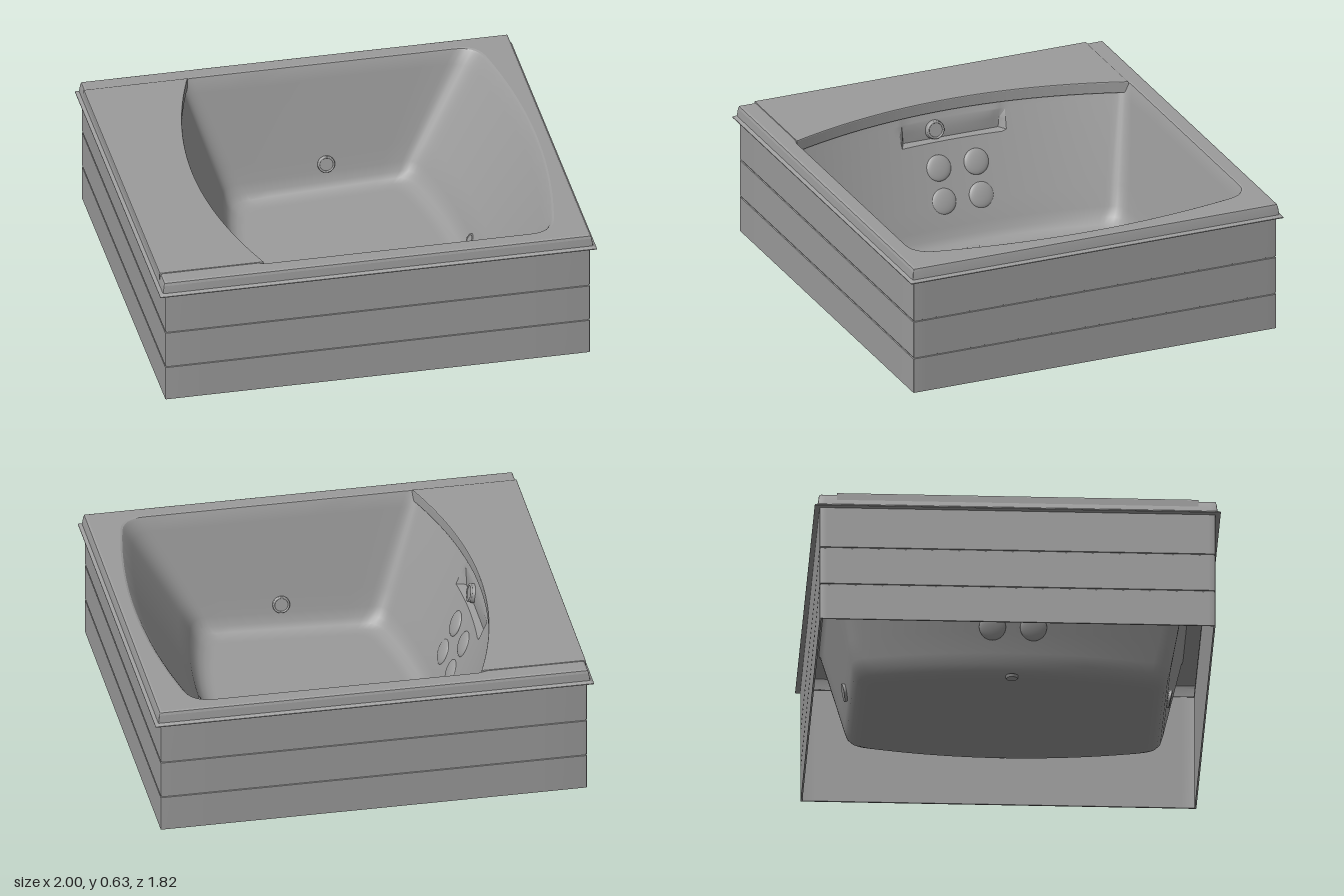
import * as THREE from 'three';
import { toCreasedNormals } from 'three/addons/utils/BufferGeometryUtils.js';

const material = new THREE.MeshStandardMaterial({ color: 0x9c9c9c, side: THREE.DoubleSide });

function add(group, name, geometry) {
  const mesh = new THREE.Mesh(geometry, material);
  mesh.name = name;
  group.add(mesh);
  return mesh;
}

// Closed four-sided outline in plan as [x, z]: bowed ends, straight sides, rounded corners
function outline({ l, r, z, bl = 0, br = 0, fl = 0.04, fr = 0.12 }) {
  const left = s => [l - bl * (1 - s * s), s * z];
  const right = s => [r + br * (1 - s * s), s * z];
  const side = (t, s) => [l + (r - l) * t, s * z];
  const points = [];
  const run = (fn, a, b, n) => {
    for (let i = 0; i <= n; i++) points.push(fn(a + (b - a) * i / n));
  };
  const corner = (a, c, b) => {
    for (let i = 1; i < 6; i++) {
      const t = i / 6, u = 1 - t;
      points.push([0, 1].map(k => u * u * a[k] + 2 * u * t * c[k] + t * t * b[k]));
    }
  };
  run(left, 1 - fl, -1 + fl, 64);
  corner(left(-1 + fl), [l, -z], side(fl, -1));
  run(t => side(t, -1), fl, 1 - fr * 0.6, 8);
  corner(side(1 - fr * 0.6, -1), [r, -z], right(-1 + fr));
  run(right, -1 + fr, 1 - fr, 32);
  corner(right(1 - fr), [r, z], side(1 - fr * 0.6, 1));
  run(t => side(t, 1), 1 - fr * 0.6, fl, 8);
  corner(side(fl, 1), [l, z], left(1 - fl));
  return points;
}

// Skin between outlines; each level carries its own height y
function loft(levels, crease, adjust = p => p) {
  const positions = [], index = [];
  let n = 0;
  levels.forEach((level, j) => {
    const ring = outline(level);
    n = ring.length;
    ring.forEach(([x, z], i) => {
      positions.push(...adjust([x, level.y, z]));
      if (j === 0) return;
      const a = (j - 1) * n + i, b = (j - 1) * n + (i + 1) % n;
      index.push(a, a + n, b, b, a + n, b + n);
    });
  });
  const g = new THREE.BufferGeometry();
  g.setAttribute('position', new THREE.Float32BufferAttribute(positions, 3));
  g.setIndex(index);
  return toCreasedNormals(g, crease);
}

const rect = (y, x, z, f = 0.004) => ({ y, l: -x, r: x, z, fl: f, fr: f });
const vectors = pts => pts.map(([x, z]) => new THREE.Vector2(x, -z));

// Turn a part's z axis along a normal and set it in place
function place(part, position, normal) {
  part.position.set(...position);
  part.quaternion.setFromUnitVectors(new THREE.Vector3(0, 0, 1), new THREE.Vector3(...normal).normalize());
}

// Disc fitting with a raised ring
function fitting(model, name, position, normal, radius) {
  const g = new THREE.Group();
  g.name = name;
  const disc = add(g, name + 'Disc', new THREE.CylinderGeometry(radius * 0.9, radius, 0.022, 28));
  disc.rotation.x = Math.PI / 2;
  const ring = add(g, name + 'Ring', new THREE.TorusGeometry(radius * 0.82, radius * 0.12, 8, 28));
  ring.position.z = 0.01;
  place(g, position, normal);
  model.add(g);
}

export function createModel() {
  const model = new THREE.Group();
  model.name = 'bathtub';

  // Open-bottomed skirt: plain inside, two fine grooves outside
  const skirt = [rect(0.56, 0.964, 0.879), rect(0.01, 0.964, 0.879), rect(0.01, 0.972, 0.887)];
  for (const y of [0.18, 0.36]) {
    skirt.push(rect(y - 0.004, 0.972, 0.887), rect(y - 0.002, 0.968, 0.883),
      rect(y + 0.002, 0.968, 0.883), rect(y + 0.004, 0.972, 0.887));
  }
  skirt.push(rect(0.56, 0.972, 0.887));
  add(model, 'skirt', loft(skirt, 0.2));

  // Thin flange and outer edge of the rim
  add(model, 'rimEdge', loft([
    rect(0.557, 0.96, 0.875), rect(0.557, 1, 0.91), rect(0.561, 1, 0.91), rect(0.57, 0.985, 0.896),
    rect(0.606, 0.98, 0.892), rect(0.618, 0.976, 0.888), rect(0.622, 0.968, 0.88),
  ], 0.2));

  // Basin: opening, sloped walls, rounded foot and floor
  const wall = (y) => {
    const t = (0.61 - y) / 0.52;
    const mix = (a, b) => a + (b - a) * t;
    return {
      y, l: mix(-0.53, -0.36), bl: mix(0.15, 0.1), r: mix(0.805, 0.52), br: 0.1,
      z: mix(0.812, 0.715), fl: mix(0.04, 0.08),
    };
  };
  const opening = { y: 0.622, l: -0.535, bl: 0.15, r: 0.82, br: 0.1, z: 0.822 };
  const foot = (y, l, r, z) => ({ y, l, bl: 0.1, r, br: 0.1, z, fl: 0.1 });
  const levels = [
    opening, { ...opening, y: 0.619, l: -0.532, r: 0.812, z: 0.816 },
    ...[0.61, 0.545, 0.538, 0.5, 0.455, 0.448, 0.38, 0.28, 0.18, 0.09].map(wall),
    foot(0.045, -0.345, 0.505, 0.703), foot(0.018, -0.325, 0.48, 0.687), foot(0.004, -0.3, 0.455, 0.664),
    foot(0, -0.275, 0.43, 0.64), foot(0, -0.26, 0.415, 0.625), { y: 0, l: 0.08, r: 0.08, z: 0 },
  ];
  // Floor falls gently to one end; a shelf niche is pressed into the bowed wall
  const shape = ([x, y, z]) => {
    if (x < -0.4 && Math.abs(z) < 0.24 && y > 0.452 && y < 0.541) x = Math.min(x, -0.64);
    return [x, y + (0.006 + 0.04 * (x + 0.4)) * Math.max(0, 1 - y / 0.62), z];
  };
  add(model, 'basin', loft(levels, 0.5, shape));

  // Drain boss under the low end of the floor
  const drain = add(model, 'drain', new THREE.CylinderGeometry(0.03, 0.025, 0.012, 24));
  drain.position.set(-0.39, 0.006, 0);

  // Flat rim top around the opening
  const top = new THREE.Shape(vectors(outline(rect(0, 0.968, 0.88))));
  top.holes.push(new THREE.Path(vectors(outline(opening))));
  const rim = add(model, 'rimTop', new THREE.ShapeGeometry(top));
  rim.rotation.x = -Math.PI / 2;
  rim.position.y = 0.622;

  // Deck panel with a bowed front edge overhanging the wall
  const edge = [[-0.982, 0.81]];
  for (let i = 0; i <= 48; i++) {
    const s = 1 - i / 24;
    edge.push([-0.505 - 0.15 * (1 - s * s), 0.81 * s]);
  }
  edge.push([-0.982, -0.81]);
  const deck = add(model, 'deckPanel', new THREE.ExtrudeGeometry(new THREE.Shape(vectors(edge)), {
    depth: 0.046, bevelThickness: 0.005, bevelSize: 0.005, bevelOffset: -0.005, bevelSegments: 2,
  }));
  deck.rotation.x = -Math.PI / 2;
  deck.position.y = 0.576;

  // Four domed back pads in two rows
  for (const z of [-0.092, 0.092]) {
    for (const [x, y] of [[-0.564, 0.34], [-0.507, 0.2]]) {
      const pad = add(model, 'backPad', new THREE.SphereGeometry(0.06, 28, 16));
      pad.scale.z = 0.25;
      place(pad, [x, y, z], [1, 0.42, 0]);
      model.add(pad);
    }
  }

  // Control dial in the niche, side jets and end jet
  fitting(model, 'controlDial', [-0.634, 0.498, 0.08], [1, 0.2, 0], 0.045);
  for (const s of [-1, 1]) fitting(model, 'sideJet', [0.11, 0.15, s * 0.724], [0, 0.2, -s], 0.042);
  fitting(model, 'endJet', [0.62, 0.11, 0], [-1, 0.5, 0], 0.035);

  return model;
}
